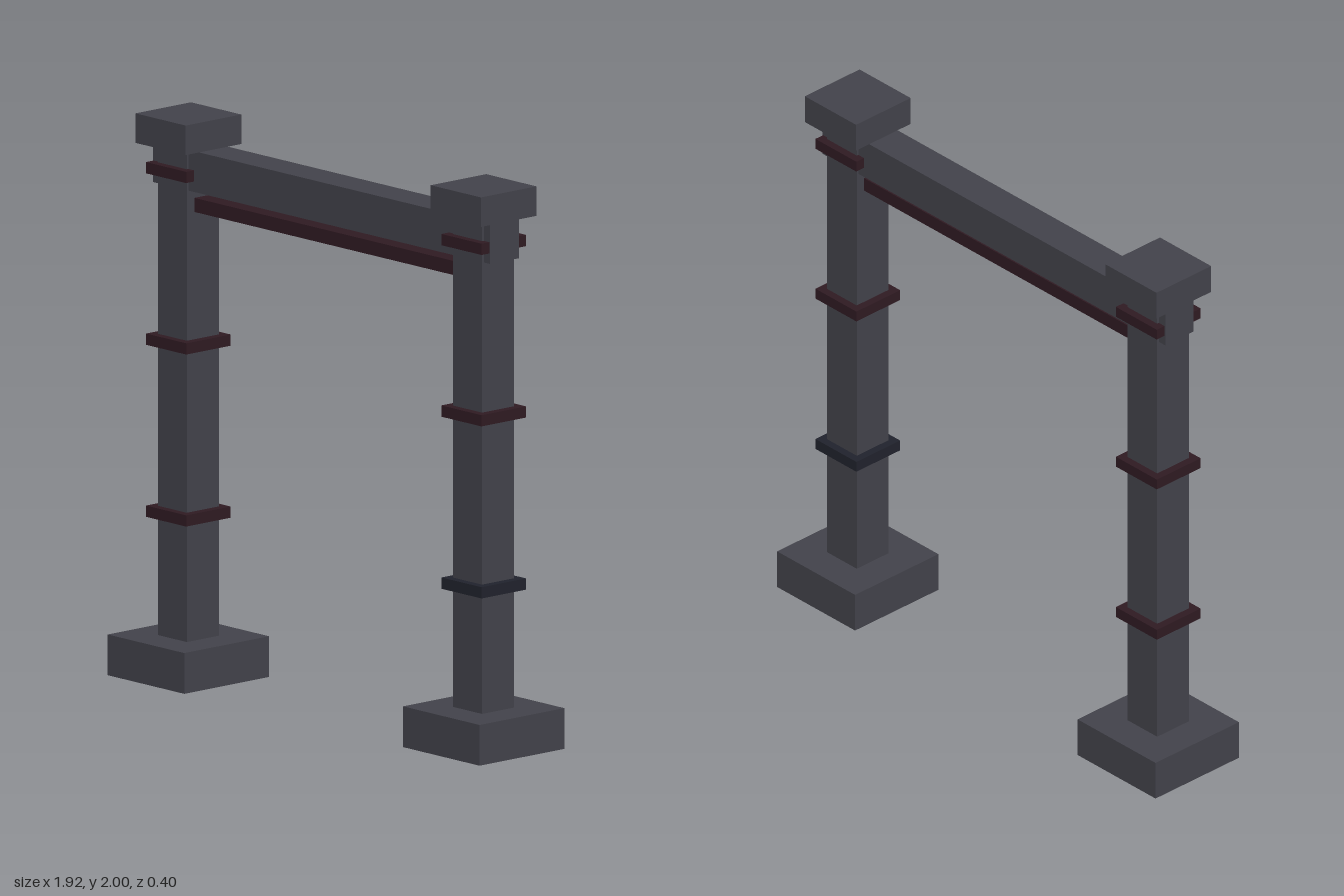
import * as THREE from 'three';

export function createModel() {
  const group = new THREE.Group();
  group.name = 'gate';
  const mat = (color) => new THREE.MeshStandardMaterial({ color, flatShading: true });
  const stone = mat(0x42424a);
  const red = mat(0x2f1a22);
  const dark = mat(0x20222c);

  // Box given by its bottom and top heights
  const box = (parent, name, w, y0, y1, d, material) => {
    const mesh = new THREE.Mesh(new THREE.BoxGeometry(w, y1 - y0, d), material);
    mesh.position.y = (y0 + y1) / 2;
    mesh.name = name;
    parent.add(mesh);
  };

  // Two pillars with footing, capital and three bands
  for (const side of [-1, 1]) {
    const pillar = new THREE.Group();
    pillar.name = side > 0 ? 'leftPillar' : 'rightPillar';
    pillar.position.x = side * 0.763;
    box(pillar, 'footing', 0.396, 0, 0.145, 0.396, stone);
    box(pillar, 'shaft', 0.15, 0.145, 1.895, 0.15, stone);
    box(pillar, 'capital', 0.26, 1.895, 2, 0.26, stone);
    [0.585, 1.197, 1.807].forEach((y, i) => {
      // The lowest band of the left pillar is unlit
      const material = side > 0 && i === 0 ? dark : red;
      box(pillar, 'band', 0.208, y - 0.02, y + 0.02, 0.208, material);
    });
    group.add(pillar);
  }

  // Lintel running through both pillars, and the thin rail below it
  box(group, 'lintel', 1.742, 1.75, 1.895, 0.135, stone);
  box(group, 'rail', 1.376, 1.67, 1.72, 0.08, red);

  return group;
}
